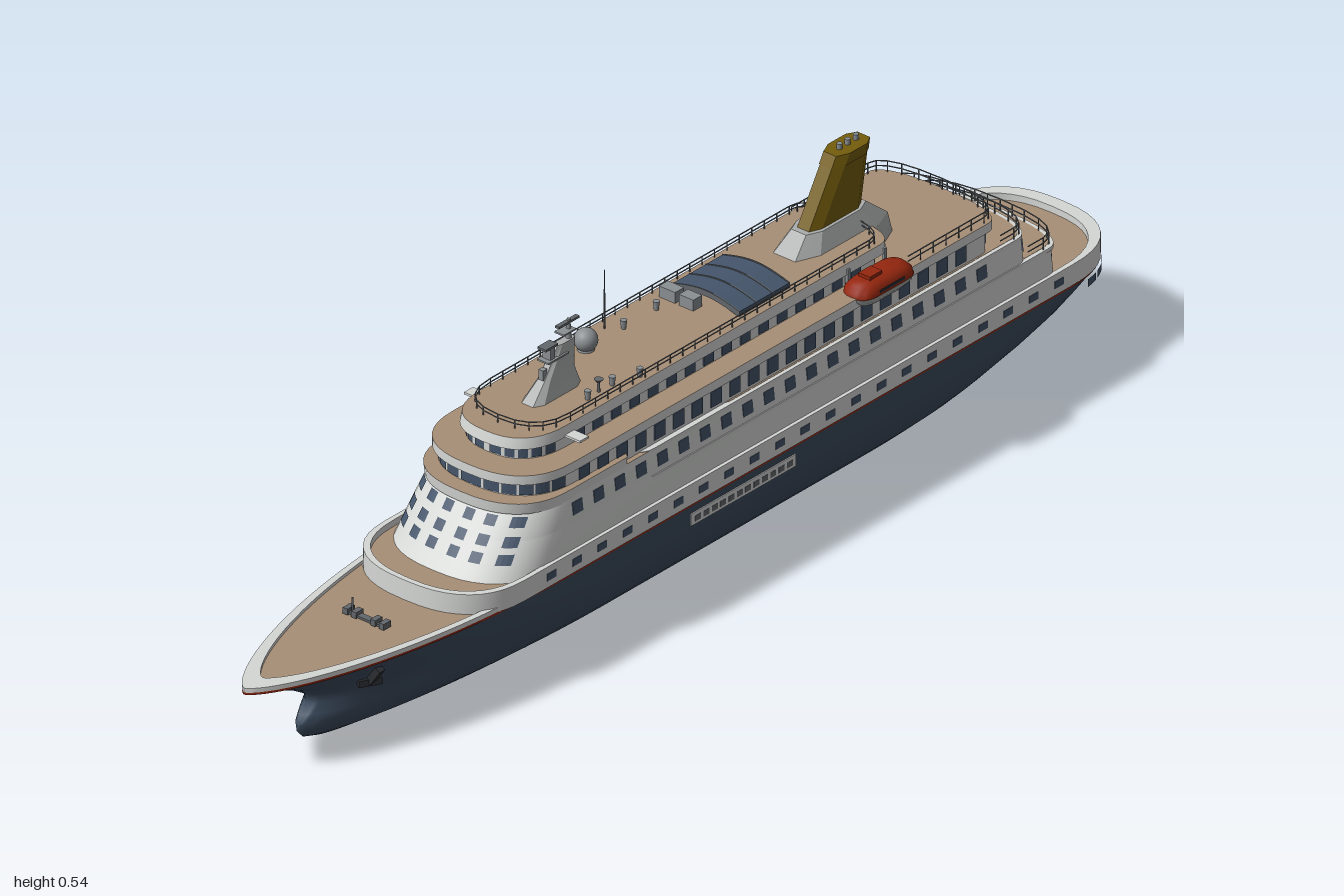
import * as THREE from 'three';
import { mergeGeometries, toCreasedNormals } from 'three/addons/utils/BufferGeometryUtils.js';

const mat = (name, color, side = THREE.FrontSide) => {
  const m = new THREE.MeshStandardMaterial({ color, side });
  m.name = name;
  return m;
};

export function createModel() {
  const white = mat('white paint', 0xd6d8d6), navy = mat('navy hull', 0x3c4b5e), tan = mat('teak deck', 0xa88f76);
  const red = mat('red paint', 0x96270f), glass = mat('window glass', 0x45556b, THREE.DoubleSide);
  const gold = mat('gold funnel', 0x745d0c), dark = mat('dark metal', 0x2b2e33), grey = mat('grey metal', 0x8b9093);
  const railGrey = mat('rail grey', 0x63686c), paleGrey = mat('pale grey paint', 0xacafae);
  const ship = new THREE.Group();
  ship.name = 'cruiseShip';

  const add = (name, geo, material) => {
    const m = new THREE.Mesh(Array.isArray(geo) ? mergeGeometries(geo) : geo, material);
    m.name = name;
    ship.add(m);
  };
  const box = (w, h, d, x, y, z, ry = 0, rx = 0, rz = 0) =>
    new THREE.BoxGeometry(w, h, d).rotateX(rx).rotateZ(rz).rotateY(ry).translate(x, y, z);
  const cyl = (r0, r1, h, x, y, z, n = 10) => new THREE.CylinderGeometry(r0, r1, h, n).translate(x, y, z);
  const lerp = THREE.MathUtils.lerp;

  // Skin over stacked closed rings; group 0 is the wall, group 1 the top cap
  function skin(rings, crease = 0.6, bottom = false) {
    const pos = [], n = rings[0].length;
    const tri = (...p) => p.forEach(v => pos.push(v.x, v.y, v.z));
    for (let k = 0; k + 1 < rings.length; k++) for (let i = 0; i < n; i++) {
      const j = (i + 1) % n, a = rings[k], b = rings[k + 1];
      tri(a[i], b[i], a[j]);
      tri(a[j], b[i], b[j]);
    }
    const centre = r => r.reduce((s, p) => s.add(p), new THREE.Vector3()).divideScalar(n);
    const lo = rings[0], hi = rings[rings.length - 1], cl = centre(lo), ch = centre(hi);
    if (bottom) for (let i = 0; i < n; i++) tri(cl, lo[i], lo[(i + 1) % n]);
    const walls = pos.length / 3;
    for (let i = 0; i < n; i++) tri(ch, hi[(i + 1) % n], hi[i]);
    let g = new THREE.BufferGeometry();
    g.setAttribute('position', new THREE.Float32BufferAttribute(pos, 3));
    g = toCreasedNormals(g, crease);
    g.clearGroups();
    g.addGroup(0, walls, 0);
    g.addGroup(walls, pos.length / 3 - walls, 1);
    return g;
  }

  // Deck outline with rounded front and back: half width, front z, front depth, back z, back depth
  const out = (w, zf, df, zb, db) => ({ w, zf, df, zb, db });
  const grow = (o, d) => out(o.w + d, o.zf + d, o.df, o.zb - d, o.db);
  function at(o, a, y, front) {
    const c = Math.cos(a), s = Math.sin(a), e = v => Math.sign(v) * Math.abs(v) ** 0.8;
    return new THREE.Vector3(o.w * e(c), y, front ? o.zf - o.df + o.df * e(s) : o.zb + o.db + o.db * e(s));
  }
  function ring(o, y, n = 20) {
    const r = [];
    for (let i = 0; i <= n; i++) r.push(at(o, Math.PI * i / n, y, true));
    for (let i = 0; i <= n; i++) r.push(at(o, Math.PI * (1 + i / n), y, false));
    return r;
  }
  const deckBlock = (name, o0, y0, o1, y1, top = tan) =>
    add(name, skin([ring(o0, y0), ring(o1, y1)], 0.6, true), [white, top]);

  // Window pane following a rounded end wall between two outlines
  function pane(o0, y0, o1, y1, a0, a1, f0, f1) {
    const front = a0 < Math.PI, pos = [];
    const P = (a, f) => at(grow(o0, 0.0015), a, y0, front).lerp(at(grow(o1, 0.0015), a, y1, front), f);
    for (let i = 0; i < 3; i++) {
      const a = lerp(a0, a1, i / 3), b = lerp(a0, a1, (i + 1) / 3);
      for (const v of [P(a, f0), P(a, f1), P(b, f0), P(b, f0), P(a, f1), P(b, f1)]) pos.push(v.x, v.y, v.z);
    }
    const g = new THREE.BufferGeometry();
    g.setAttribute('position', new THREE.Float32BufferAttribute(pos, 3));
    g.computeVertexNormals();
    return g;
  }
  function paneRow(name, o0, y0, o1, y1, a0, a1, count, fill, f0, f1) {
    const step = (a1 - a0) / count, list = [];
    for (let i = 0; i < count; i++) {
      const m = a0 + (i + 0.5) * step;
      list.push(pane(o0, y0, o1, y1, m - step * fill / 2, m + step * fill / 2, f0, f1));
    }
    add(name, list, glass);
  }
  // Mirrored row of flat windows along the straight sides, leaning with the wall
  function sideRow(name, x, y, w, h, z0, z1, step, lean = 0) {
    const list = [];
    for (let z = z0; z > z1; z -= step) for (const s of [1, -1]) list.push(box(0.004, h, w, s * x, y, z, 0, 0, s * lean));
    add(name, list, glass);
  }
  // Railing: two bars and posts along an outline
  function railing(name, o, y, h, keep = () => true) {
    const pts = ring(o, y, 10), list = [];
    pts.forEach((p, i) => {
      const q = pts[(i + 1) % pts.length], len = p.distanceTo(q);
      if (len < 1e-4 || !keep((p.z + q.z) / 2)) return;
      const ry = Math.atan2(q.x - p.x, q.z - p.z), n = Math.max(1, Math.round(len / 0.03));
      for (const f of [1, 0.55]) list.push(box(0.0015, 0.0015, len, (p.x + q.x) / 2, y + h * f, (p.z + q.z) / 2, ry));
      for (let k = 0; k < n; k++) list.push(box(0.0015, h, 0.0015, lerp(p.x, q.x, k / n), y + h / 2, lerp(p.z, q.z, k / n)));
    });
    add(name, list, railGrey);
  }

  // Hull levels: y, half width, bow z, stern z
  const levels = [[0, 0.022, 0.74, -0.56], [0.003, 0.04, 0.785, -0.63], [0.009, 0.063, 0.825, -0.7], [0.02, 0.087, 0.857, -0.8],
    [0.034, 0.105, 0.87, -0.85], [0.048, 0.118, 0.872, -0.868], [0.062, 0.127, 0.862, -0.88], [0.078, 0.134, 0.847, -0.9], [0.095, 0.14, 0.85, -0.935],
    [0.115, 0.1435, 0.882, -0.975], [0.14, 0.145, 0.935, -0.995], [0.158, 0.145, 0.985, -1]];
  function hullHalf([y, W, zb, zs], z) {
    const k = Math.min(1, y / 0.16), bow = lerp(0.2, 0.35, k), aft = lerp(-0.25, -0.85, k);
    if (z > bow) return W * (1 - Math.min(1, (z - bow) / (zb - bow)) ** lerp(2, 2.1, k)) ** 0.7;
    if (z < aft) return W * (1 - Math.min(1, (aft - z) / (aft - zs)) ** 2.4) ** lerp(0.85, 0.4, k);
    return W;
  }
  function hullRing(l, y = l[0], sx = 1, sz = 1, m = 56) {
    const r = [];
    for (let i = 0; i < 2 * m; i++) {
      const u = i <= m ? i / m : 2 - i / m, z = lerp(l[3], l[2], (1 - Math.cos(Math.PI * u)) / 2);
      r.push(new THREE.Vector3((i <= m ? 1 : -1) * hullHalf(l, z) * sx, y, z * sz));
    }
    return r;
  }
  const rim = [0.16, 0.1455, 1, -1];
  add('hull', skin(levels.map(l => hullRing(l)), 1.5, true), [navy, navy]);
  add('redLine', skin([hullRing(rim, 0.158), hullRing(rim, 0.162)]), [red, white]);
  add('foredeck', skin([hullRing(rim, 0.162), hullRing(rim, 0.17), hullRing(rim, 0.17, 0.94, 0.955), hullRing(rim, 0.164, 0.94, 0.955)]), [white, tan]);
  const band = out(0.147, 0.61, 0.13, -1, 0.15), inner = out(0.138, 0.6, 0.13, -0.975, 0.14);
  add('upperHull', skin([ring(band, 0.162), ring(band, 0.2), ring(inner, 0.2), ring(inner, 0.188)]), [white, tan]);

  // Terraced superstructure
  const A0 = out(0.142, 0.54, 0.13, -0.85, 0.05), A1 = out(0.1353, 0.4953, 0.1244, -0.85, 0.05);
  const A2 = out(0.1353, 0.4953, 0.1244, -0.78, 0.045), A3 = out(0.13, 0.46, 0.12, -0.78, 0.045);
  const B = out(0.121, 0.445, 0.12, -0.7, 0.04), roof = out(0.127, 0.457, 0.12, -0.71, 0.04);
  const C = out(0.085, 0.405, 0.1, -0.47, 0.04), top = out(0.091, 0.417, 0.1, -0.49, 0.04);
  deckBlock('lowerHouse', A0, 0.188, A1, 0.245);
  deckBlock('middleHouse', A2, 0.245, A3, 0.29);
  deckBlock('bridgeSill', out(0.13, 0.472, 0.12, 0.2, 0.02), 0.284, out(0.132, 0.474, 0.12, 0.2, 0.02), 0.304);
  deckBlock('bridgeHouse', B, 0.29, B, 0.333);
  deckBlock('bridgeRoof', roof, 0.33, roof, 0.347);
  deckBlock('topHouse', C, 0.347, C, 0.372);
  deckBlock('topDeck', top, 0.37, out(0.089, 0.413, 0.1, -0.49, 0.04), 0.389);
  add('terraceLips', [[0.137, 0.243, -0.855], [0.131, 0.288, -0.785]].map(([w, y, z]) =>
    skin([ring(out(w, 0.2, 0.05, z, 0.05), y - 0.004), ring(out(w, 0.2, 0.05, z, 0.05), y + 0.003)], 0.6, true)), white);
  add('terraceDecks', [[0.129, 0.2465, -0.848], [0.124, 0.2915, -0.778]].map(([w, y, z]) =>
    skin([ring(out(w, 0, 0.05, z, 0.045), y - 0.002), ring(out(w, 0, 0.05, z, 0.045), y)])), tan);

  // Windows: three rows of square panes on the sloping front
  const angle = x => Math.acos(Math.sign(x) * (Math.abs(x) / 0.136) ** 1.25);
  const squares = [];
  for (const y of [0.213, 0.237, 0.264]) for (const x of [0.022, 0.062, 0.102]) for (const s of [1, -1])
    squares.push(pane(A0, 0.188, A3, 0.29, angle(s * x + 0.0095), angle(s * x - 0.0095), (y - 0.188) / 0.102, (y - 0.173) / 0.102));
  add('frontWindows', squares, glass);
  paneRow('bridgeWindows', B, 0.29, B, 0.333, 0.15, Math.PI - 0.15, 11, 0.86, 0.38, 0.85);
  paneRow('topFrontWindows', C, 0.347, C, 0.372, 0.2, Math.PI - 0.2, 10, 0.75, 0.1, 0.75);
  paneRow('aftWindowsLower', A0, 0.188, A1, 0.245, 3.6, 5.82, 6, 0.4, 0.4, 0.7);
  paneRow('aftWindowsMiddle', A2, 0.245, A3, 0.29, 3.5, 5.92, 8, 0.55, 0.2, 0.75);
  paneRow('aftWindowsUpper', B, 0.29, B, 0.333, 3.5, 5.92, 8, 0.55, 0.2, 0.8);
  paneRow('sternOpenings', band, 0.142, band, 0.156, 3.3, 6.12, 12, 0.75, 0, 1);
  sideRow('hullPorts', 0.146, 0.181, 0.022, 0.013, 0.42, -0.84, 0.062);
  sideRow('middleWindows', 0.1318, 0.267, 0.024, 0.022, 0.34, -0.7, 0.052, 0.117);
  sideRow('upperWindows', 0.1205, 0.311, 0.026, 0.028, 0.31, -0.65, 0.046);
  sideRow('topWindows', 0.0845, 0.358, 0.024, 0.017, 0.28, -0.42, 0.045);

  // Railings
  railing('aftRoofRailing', out(0.122, -0.46, 0.02, -0.706, 0.04), 0.347, 0.02, z => z < -0.48);
  railing('topRailing', out(0.084, 0.38, 0.08, -0.47, 0.04), 0.389, 0.015);
  railing('terraceRailingMiddle', out(0.127, -0.66, 0.04, -0.778, 0.045), 0.29, 0.022, z => z < -0.7);
  railing('terraceRailingLower', out(0.133, -0.72, 0.04, -0.848, 0.05), 0.246, 0.022, z => z < -0.76);

  // Funnel on its faceted casing
  add('funnelCasing', skin([ring(out(0.045, -0.3, 0.05, -0.56, 0.05), 0.345, 3), ring(out(0.042, -0.31, 0.05, -0.55, 0.05), 0.385, 3),
    ring(out(0.027, -0.352, 0.03, -0.505, 0.03), 0.42, 3)], 0.2), [paleGrey, paleGrey]);
  const F = t => out(0.0215, lerp(-0.362, -0.43, t), 0.025, lerp(-0.495, -0.515, t), 0.02);
  add('funnel', skin([ring(F(0), 0.418, 3), ring(F(1), 0.53, 3)], 0.2), [gold, gold]);
  add('funnelCollar', skin([ring(grow(F(0.84), 0.0015), 0.512, 3), ring(grow(F(1), 0.0015), 0.5305, 3)], 0.2, true), [gold, gold]);
  add('exhaustPipes', [-0.455, -0.475, -0.495].map(z => cyl(0.005, 0.005, 0.014, 0, 0.533, z)), grey);

  // Glass pool roof with ribs
  const arch = new THREE.BoxGeometry(0.14, 0.01, 0.12, 10, 1, 1), ap = arch.attributes.position;
  for (let i = 0; i < ap.count; i++) ap.setY(i, ap.getY(i) + 0.012 * Math.cos(ap.getX(i) / 0.07 * Math.PI / 2));
  arch.computeVertexNormals();
  const ribs = [-0.061, -0.02, 0.02, 0.061].map(z => arch.clone().scale(1.01, 1.05, 0.02).translate(0, 0.3935, -0.19 + z));
  add('poolRoof', arch.translate(0, 0.393, -0.19), glass);
  add('poolRoofRibs', ribs, railGrey);
  add('deckLockers', [box(0.034, 0.02, 0.022, -0.052, 0.399, -0.105), box(0.03, 0.02, 0.022, -0.012, 0.399, -0.105)], grey);

  // Raked radar mast
  add('mast', skin([ring(out(0.021, 0.31, 0.02, 0.19, 0.02), 0.389, 3), ring(out(0.012, 0.275, 0.01, 0.2, 0.01), 0.42, 3),
    ring(out(0.007, 0.24, 0.01, 0.195, 0.01), 0.47, 3)], 0.2), [paleGrey, paleGrey]);
  add('mastFittings', [cyl(0.003, 0.005, 0.04, 0, 0.485, 0.207), box(0.024, 0.003, 0.05, 0, 0.452, 0.245), box(0.016, 0.006, 0.006, 0, 0.47, 0.255),
    box(0.016, 0.02, 0.012, 0, 0.463, 0.255), box(0.02, 0.003, 0.03, 0, 0.486, 0.215), box(0.01, 0.018, 0.01, 0, 0.43, 0.27)], grey);
  add('radarBars', [box(0.018, 0.004, 0.03, 0, 0.476, 0.258), box(0.008, 0.004, 0.05, 0, 0.5, 0.21)], railGrey);
  add('radarDome', [new THREE.SphereGeometry(0.02, 20, 14).translate(-0.047, 0.407, 0.11), cyl(0.012, 0.016, 0.014, -0.047, 0.392, 0.11)], grey);
  add('whipAntenna', cyl(0.001, 0.0016, 0.108, -0.068, 0.442, 0.04, 6), railGrey);
  add('dishStand', [cyl(0.002, 0.003, 0.02, 0.057, 0.397, 0.2), cyl(0.008, 0.003, 0.006, 0.057, 0.409, 0.2)], railGrey);
  add('deckVents', [[-0.045, 0.02], [-0.045, -0.06], [0.06, 0.17], [0.06, 0.23], [0.075, 0.12]].map(([x, z]) => cyl(0.006, 0.004, 0.016, x, 0.397, z)), grey);
  add('bridgeWings', [1, -1].map(s => box(0.035, 0.004, 0.022, s * 0.104, 0.372, 0.31)), white);

  // Lifeboat on its davits, left side only
  const boatRing = (w, l, y) => ring(out(w, l, 0.035, -l, 0.035), y, 12).map(p => p.add(new THREE.Vector3(0.116, 0, -0.415)));
  add('lifeboatTop', skin([boatRing(0.03, 0.068, 0.345), boatRing(0.029, 0.066, 0.355), boatRing(0.022, 0.057, 0.364), boatRing(0.012, 0.045, 0.368)], 0.9), [red, red]);
  add('lifeboatHull', skin([boatRing(0.006, 0.04, 0.322), boatRing(0.02, 0.055, 0.328), boatRing(0.028, 0.066, 0.338), boatRing(0.0305, 0.069, 0.346)], 0.9, true), [paleGrey, red]);
  add('lifeboatCabin', box(0.024, 0.008, 0.03, 0.116, 0.37, -0.395), red);
  add('lifeboatWindows', box(0.0605, 0.005, 0.06, 0.116, 0.352, -0.415), dark);
  add('davits', [-0.37, -0.46].map(z => box(0.006, 0.04, 0.006, 0.09, 0.36, z)), grey);

  // Hull fittings: gangways, anchors, winch, propeller and rudder
  for (const s of [1, -1]) {
    add('gangwayFrame', box(0.005, 0.022, 0.255, s * 0.1445, 0.134, -0.05), white);
    add('gangwaySlots', Array.from({ length: 12 }, (_, i) => box(0.006, 0.01, 0.014, s * 0.1445, 0.133, 0.062 - i * 0.0204)), railGrey);
    const ax = s * (hullHalf([0.125, 0.145, 0.905, -0.98], 0.77) + 0.002);
    add('anchor', [box(0.012, 0.04, 0.014, ax, 0.126, 0.775, 0, 0, -s * 0.6), box(0.008, 0.012, 0.04, ax - s * 0.008, 0.113, 0.778, -s * 0.5)], dark);
  }
  add('propeller', [new THREE.CylinderGeometry(0.006, 0.01, 0.06, 10).rotateX(-Math.PI / 2).translate(0, 0.048, -0.865),
    ...[0, 1, 2, 3].map(i => new THREE.BoxGeometry(0.014, 0.026, 0.003).rotateY(0.5).translate(0, 0.015, 0)
      .rotateZ(i * Math.PI / 2).translate(0, 0.048, -0.886))], dark);
  add('rudder', box(0.01, 0.075, 0.036, 0, 0.07, -0.918), navy);
  add('winch', [box(0.085, 0.004, 0.012, 0, 0.168, 0.7), ...[-0.038, -0.02, 0.02, 0.038].map(x => box(0.01, 0.011, 0.018, x, 0.171, 0.7)),
    cyl(0.002, 0.002, 0.028, -0.03, 0.181, 0.7)], railGrey);
  return ship;
}
